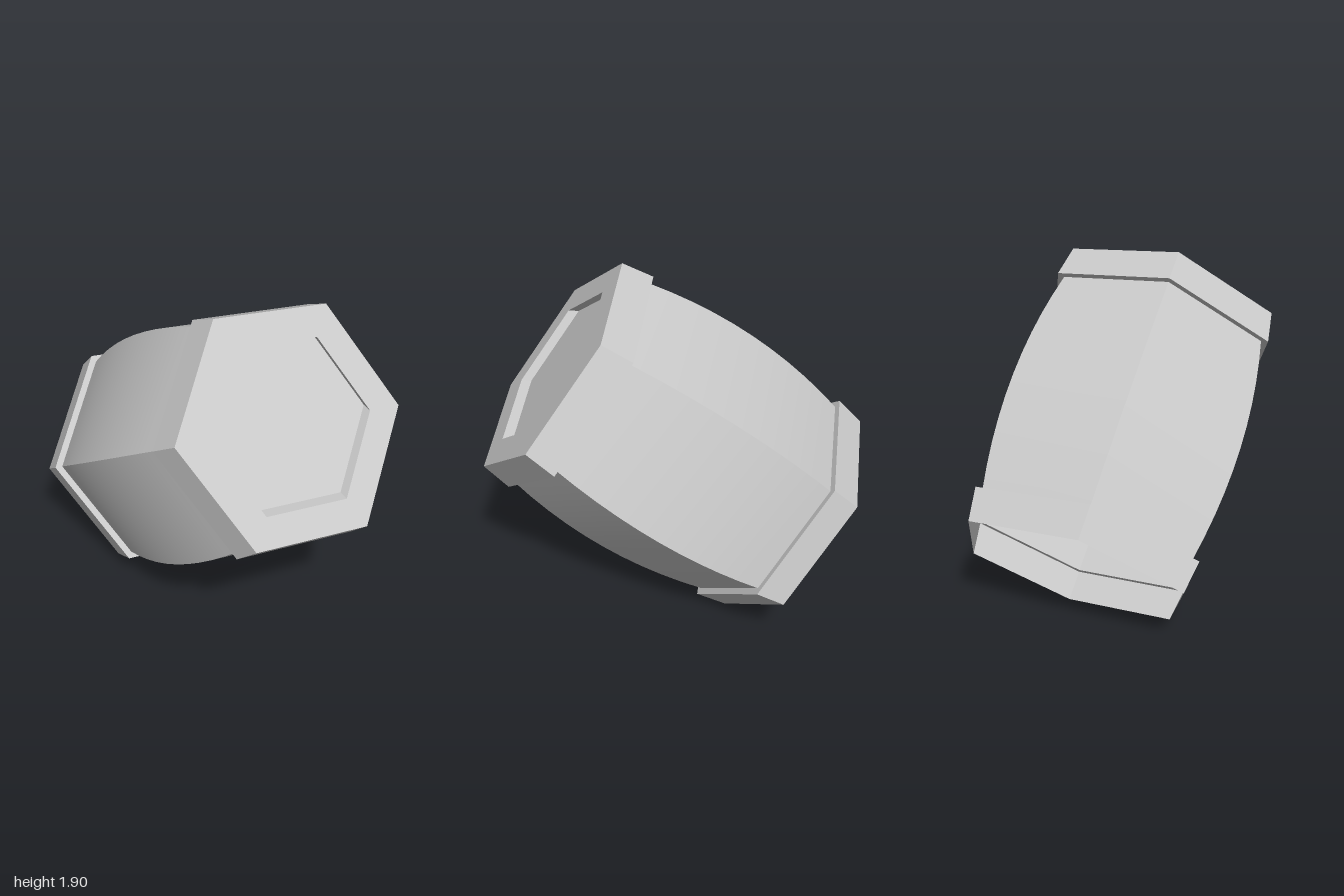
import * as THREE from 'three';
import { toCreasedNormals } from 'three/addons/utils/BufferGeometryUtils.js';

const HALF = 0.784;       // half length along the axis
const BAND = 0.614;       // where the end bands meet the barrel
const RIM = 0.63, LEDGE = 0.66, END = 0.62, BELLY = 0.69, RECESS = 0.455;

const material = new THREE.MeshStandardMaterial({ color: 0xcccccc, side: THREE.DoubleSide });

// Six-sided shell turned from a [radius, height] profile
function hexShell(name, profile, move) {
  const geo = new THREE.LatheGeometry(profile.map(([r, y]) => new THREE.Vector2(r, y)), 6);
  if (move) move(geo.attributes.position);
  const mesh = new THREE.Mesh(toCreasedNormals(geo, 0.5), material);
  mesh.name = name;
  return mesh;
}

export function createModel() {
  const model = new THREE.Group();
  model.name = 'hexagonalBarrel';

  // Bulging body
  const curve = [];
  for (let i = 0; i <= 10; i++) {
    const t = -1 + i / 5;
    curve.push([END + (BELLY - END) * (1 - t * t), t * BAND]);
  }
  model.add(hexShell('barrelBody', curve));

  // Flared end bands; the lower end is open
  model.add(hexShell('lowerBand', [[RIM, -HALF], [LEDGE, -BAND], [END, -BAND]]));
  model.add(hexShell('upperBand', [[END, BAND], [LEDGE, BAND], [RIM, HALF], [RECESS, HALF]]));

  // Shallow lid recess whose floor is pushed slightly to one side
  const floorY = HALF - 0.043;
  model.add(hexShell('lidRecess', [[RECESS, HALF], [RECESS, floorY], [0, floorY]], (pos) => {
    for (let i = 0; i < pos.count; i++) {
      if (pos.getY(i) < HALF - 0.02) {
        pos.setX(i, pos.getX(i) - 0.0165);
        pos.setZ(i, pos.getZ(i) + 0.0286);
      }
    }
  }));

  // Tilted pose
  const axis = new THREE.Vector3(0.757, 0.6, 0.26).normalize();
  const corner = new THREE.Vector3(-0.405, 0.475, 0.07);
  corner.addScaledVector(axis, -corner.dot(axis)).normalize();
  const side = new THREE.Vector3().crossVectors(axis, corner);
  model.quaternion.setFromRotationMatrix(new THREE.Matrix4().makeBasis(side, axis, corner));
  model.position.y = 0.945;

  const root = new THREE.Group();
  root.name = 'barrel';
  root.add(model);
  return root;
}
